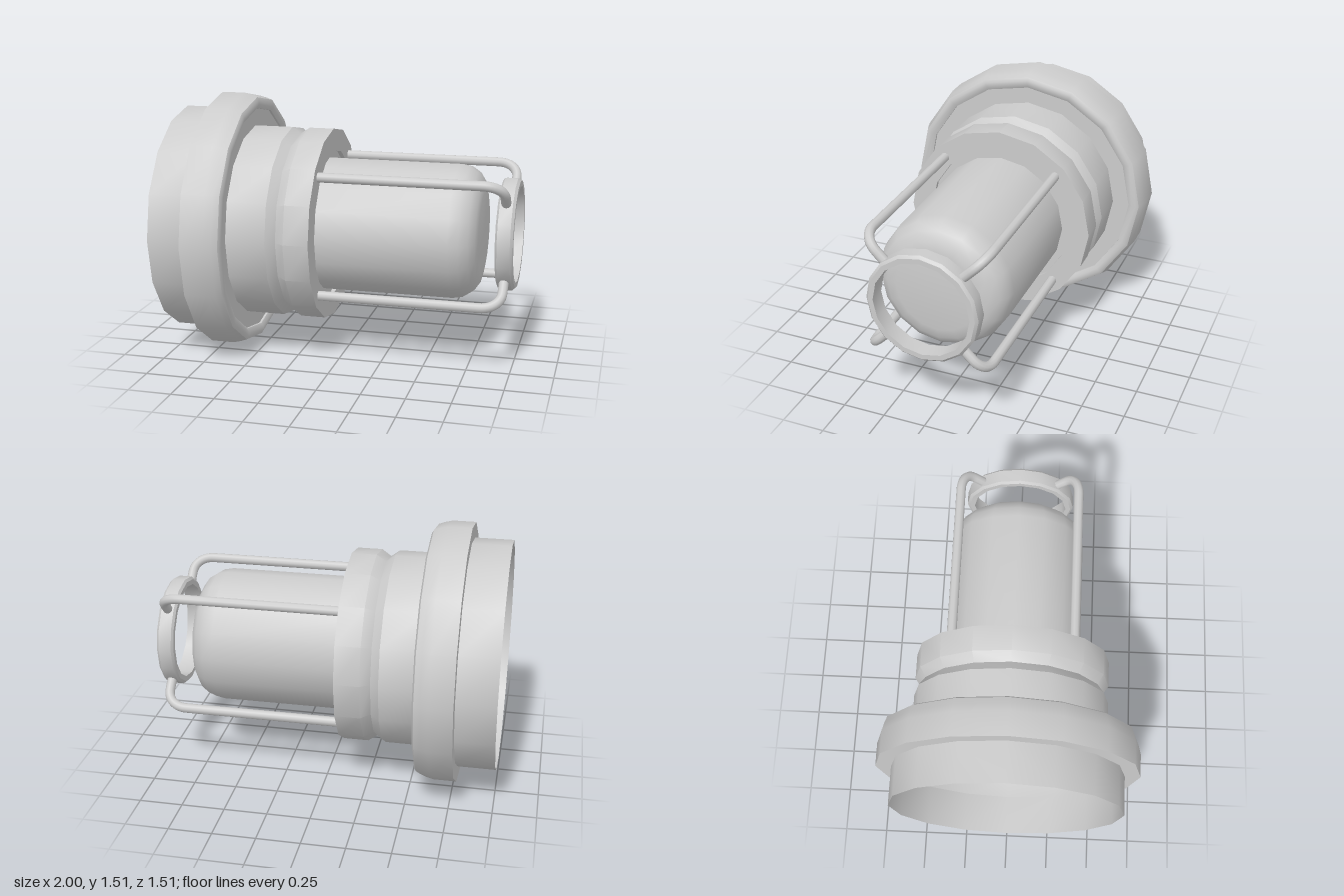
import * as THREE from 'three';
import { toCreasedNormals } from 'three/addons/utils/BufferGeometryUtils.js';

const SIDES = 16;
const AXIS_Y = 0.757;

export function createModel() {
  const model = new THREE.Group();
  model.name = 'cagedLamp';
  const grey = new THREE.MeshStandardMaterial({ color: 0xcccccc, side: THREE.DoubleSide });

  // Everything turns around the x axis; profiles are [x, radius] pairs
  const assembly = new THREE.Group();
  assembly.name = 'lampAssembly';
  assembly.position.y = AXIS_Y;
  model.add(assembly);

  function addTurned(name, profile) {
    const points = profile.map(([x, r]) => new THREE.Vector2(r, x));
    const lathe = new THREE.LatheGeometry(points, SIDES).rotateZ(-Math.PI / 2);
    const mesh = new THREE.Mesh(toCreasedNormals(lathe, 0.6), grey);
    mesh.name = name;
    assembly.add(mesh);
  }

  // Thin open sleeve at the back
  addTurned('rearSleeve', [[-1, 0.667], [-0.775, 0.667]]);

  // Wide collar with a rounded lip and a shallow front face
  addTurned('collar', [
    [-0.775, 0.667], [-0.775, 0.757], [-0.64, 0.757], [-0.595, 0.746], [-0.56, 0.733],
    [-0.55, 0.715], [-0.55, 0.69], [-0.562, 0.668], [-0.575, 0.668], [-0.575, 0.565],
  ]);

  // Neck with a V groove and a recessed lens seat
  addTurned('neck', [
    [-0.575, 0.565], [-0.345, 0.565], [-0.295, 0.528], [-0.24, 0.565],
    [-0.095, 0.565], [-0.095, 0.435], [-0.12, 0.435], [-0.12, 0.393],
  ]);

  // Lens with a rounded shoulder and flat end
  const lens = [[-0.12, 0.393]];
  for (let i = 0; i <= 4; i++) {
    const a = (i / 4) * Math.PI / 2;
    lens.push([0.65 + 0.15 * Math.sin(a), 0.243 + 0.15 * Math.cos(a)]);
  }
  lens.push([0.8, 0]);
  addTurned('lens', lens);

  // Chamfered ring at the tip of the guard
  addTurned('guardRing', [
    [0.9, 0.28], [0.9, 0.31], [0.912, 0.325], [0.985, 0.325],
    [1, 0.31], [1, 0.28], [0.9, 0.28],
  ]);

  // Four bent guard rods on the diagonals
  const v = (x, r) => new THREE.Vector3(x, r, 0);
  const path = new THREE.CurvePath();
  path.add(new THREE.LineCurve3(v(-0.11, 0.49), v(0.83, 0.49)));
  path.add(new THREE.CubicBezierCurve3(v(0.83, 0.49), v(0.896, 0.49), v(0.948, 0.45), v(0.948, 0.385)));
  path.add(new THREE.LineCurve3(v(0.948, 0.385), v(0.948, 0.305)));
  const rodGeometry = new THREE.TubeGeometry(path, 64, 0.028, 10, false);
  for (let i = 0; i < 4; i++) {
    const rod = new THREE.Mesh(rodGeometry, grey);
    rod.name = `guardRod${i + 1}`;
    rod.rotation.x = Math.PI / 4 + i * Math.PI / 2;
    assembly.add(rod);
  }

  return model;
}
